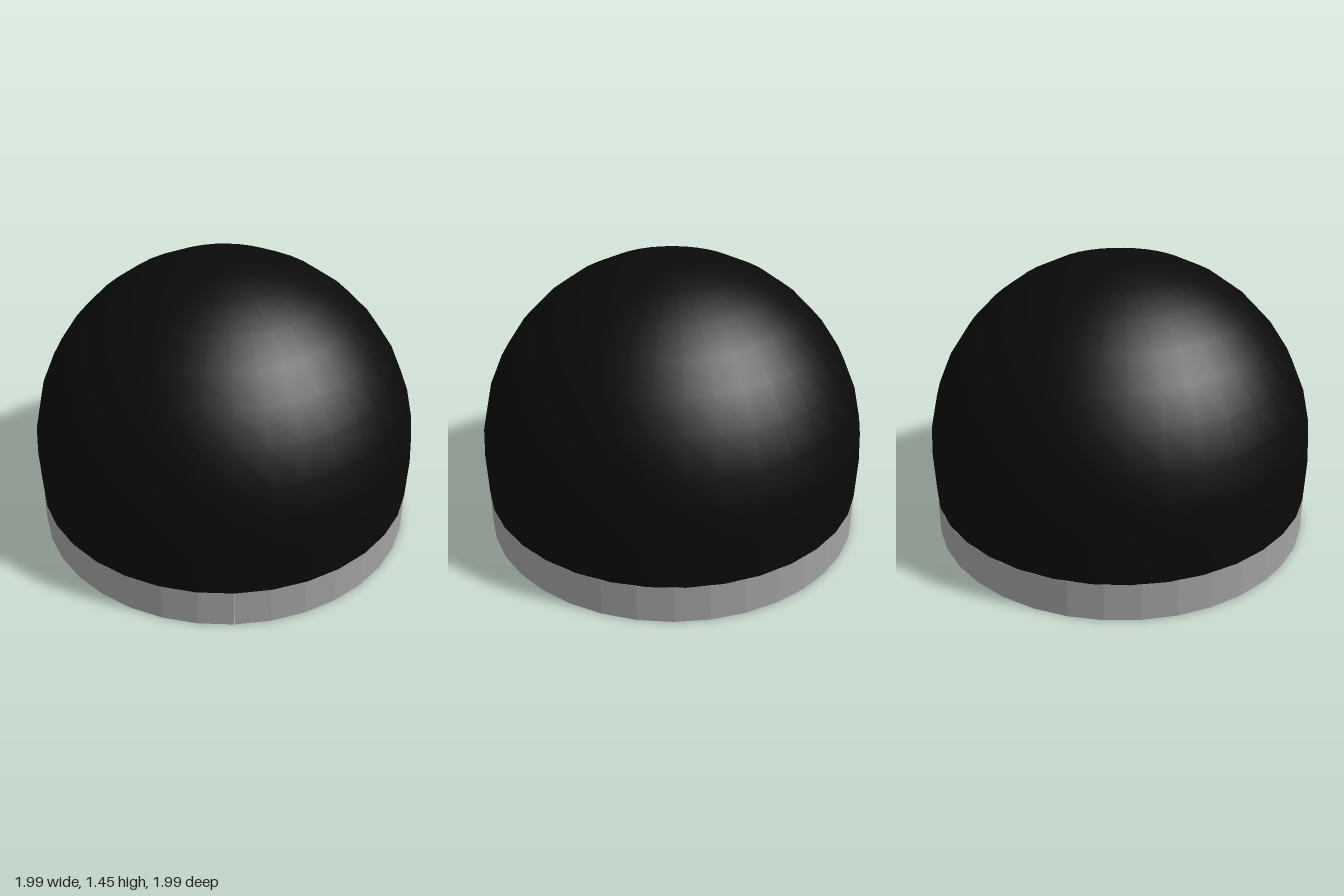
import * as THREE from 'three';

export function createModel() {
  const group = new THREE.Group();
  const black = new THREE.MeshStandardMaterial({ name: 'dome black', color: 0x0a0a0a, side: THREE.DoubleSide });
  const grey = new THREE.MeshStandardMaterial({ name: 'metal grey', color: 0xa2a2a2, flatShading: true });
  const dark = new THREE.MeshStandardMaterial({ name: 'dark underside', color: 0x211d21 });

  const add = (name, geometry, material, x = 0, y = 0, z = 0) => {
    const mesh = new THREE.Mesh(geometry, material);
    mesh.name = name;
    mesh.position.set(x, y, z);
    group.add(mesh);
    return mesh;
  };

  // Dome: a short upright wall closing into a hemisphere
  const sides = 35, step = (Math.PI * 2) / sides, radius = 0.998, centreY = 0.445;
  const profile = [new THREE.Vector2(0.992, 0.2), new THREE.Vector2(radius, 0.42)];
  for (let i = 8; i >= 0; i--) {
    profile.push(new THREE.Vector2(radius * Math.sin(i * step), centreY + Math.cos(i * step)));
  }
  add('dome', new THREE.LatheGeometry(profile, sides, Math.PI / 2), black);

  // Base ring: thin band with one narrow seam at the front
  const band = [[0.978, 0], [0.992, 0], [0.992, 0.2], [0.978, 0.2], [0.978, 0]]
    .map(([r, y]) => new THREE.Vector2(r, y));
  const gap = 0.006;
  add('baseRing', new THREE.LatheGeometry(band, 36, -0.583 + gap / 2, Math.PI * 2 - gap), grey);

  // Central post with a dark collar, hanging inside the dome
  const capped = [grey, grey, dark];
  const postX = -0.02, postZ = -0.015;
  add('post', new THREE.CylinderGeometry(0.057, 0.057, 1.22, 16), capped, postX, 0.79, postZ);
  add('postCollar', new THREE.CylinderGeometry(0.063, 0.063, 0.03, 16), dark, postX, 0.48, postZ);

  // Round plates inside: across, depth and height, laid out along a turned axis
  const turn = THREE.MathUtils.degToRad(145);
  const s = Math.sin(turn), c = Math.cos(turn);
  [[0, -0.63, 0.35], [-0.26, -0.31, 0.6], [0.1, -0.38, 0.75]].forEach(([across, depth, y], i) => {
    add('innerPlate' + (i + 1), new THREE.CylinderGeometry(0.23, 0.23, 0.04, 28), i ? dark : capped,
      c * across + s * depth, y, -s * across + c * depth);
  });

  return group;
}
